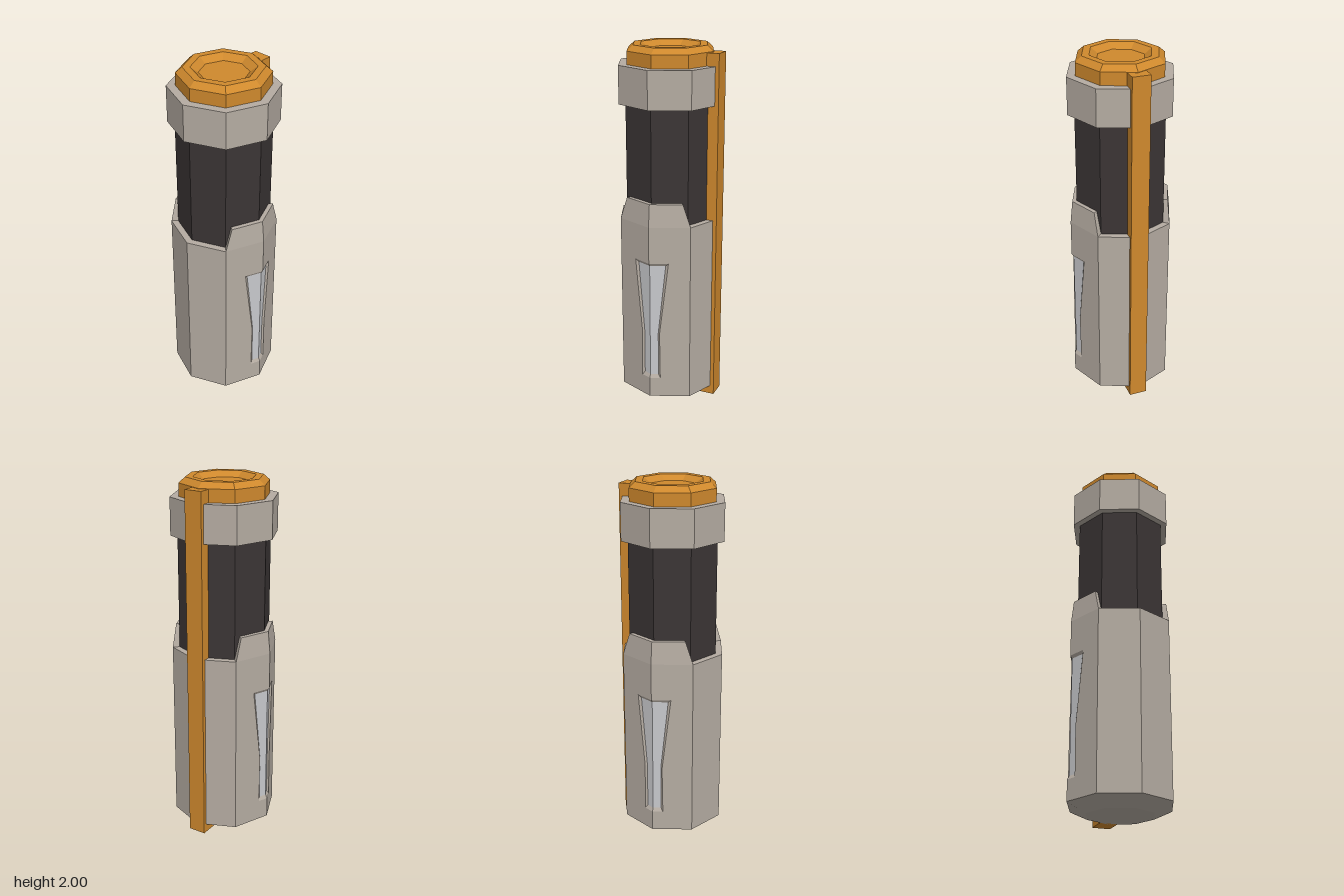
import * as THREE from 'three';

const R = 0.293;                       // outer octagon radius
const INNER = 0.255;                   // grip radius
const SLOPE = Math.tan(Math.PI / 8);   // how fast the faces beside the front corner fall back
const CORNER = R * Math.SQRT1_2;

const mat = (name, color, side = THREE.FrontSide) => {
  const m = new THREE.MeshStandardMaterial({ color, side, flatShading: true });
  m.name = name;
  return m;
};

// Four-cornered faces; flip reverses the corner order for mirrored copies
function quads(list, flip) {
  const pos = [];
  for (const q of list) {
    const [a, b, c, d] = flip ? [...q].reverse() : q;
    pos.push(...a, ...b, ...c, ...a, ...c, ...d);
  }
  const g = new THREE.BufferGeometry();
  g.setAttribute('position', new THREE.Float32BufferAttribute(pos, 3));
  g.computeVertexNormals();
  return g;
}

// Flat outline laid onto the octagon face beside the front corner
function panel(points, depth) {
  const shape = new THREE.Shape(points.map(([x, y]) => new THREE.Vector2(x, y)));
  const g = new THREE.ShapeGeometry(shape);
  const p = g.attributes.position;
  for (let i = 0; i < p.count; i++) p.setZ(i, depth - SLOPE * Math.abs(p.getX(i)));
  g.computeVertexNormals();
  return g;
}

export function createModel() {
  const casing = mat('warm grey casing', 0xb5aca2, THREE.DoubleSide);
  const orange = mat('orange', 0xcf892d);
  const grip = mat('dark grip', 0x3b3535);
  const silver = mat('silver inlay', 0xc8c9cc, THREE.DoubleSide);

  const model = new THREE.Group();
  model.name = 'octagonalCanister';
  const add = (name, geo, material, y = 0, parent = model) => {
    const m = new THREE.Mesh(geo, material);
    m.name = name;
    m.position.y = y;
    parent.add(m);
    return m;
  };

  // Grip core, upper collar and chamfered foot
  add('grip', new THREE.CylinderGeometry(INNER, INNER, 0.75, 8), grip, 1.375);
  add('collar', new THREE.CylinderGeometry(R, R, 0.205, 8), casing, 1.7975);
  add('foot', new THREE.CylinderGeometry(R, 0.19, 0.05, 8), casing, 0.025);

  // Body ledge and plain side walls
  const ledge = new THREE.RingGeometry(INNER - 0.01, R, 8).rotateX(-Math.PI / 2);
  add('bodyLedge', ledge, casing, 1.065);
  for (const [name, start] of [['leftWall', 0.25], ['rightWall', 1.25]]) {
    const wall = new THREE.CylinderGeometry(R, R, 1.015, 2, 1, true, start * Math.PI, Math.PI / 2);
    add(name, wall, casing, 0.5575);
  }

  // Front and back: recessed inlay and raised flap, mirrored about the corner
  const opening = [[0, 0.858], [0.098, 0.858], [0.052, 0.44], [0.055, 0.165], [0, 0.165]];
  const floor = [[0, 0.842], [0.08, 0.842], [0.041, 0.44], [0.041, 0.185], [0, 0.185]];
  const floorDepth = R - 0.011;
  for (const [name, turn] of [['front', 0], ['back', Math.PI]]) {
    const face = new THREE.Group();
    face.name = name + 'Face';
    face.rotation.y = turn;
    model.add(face);
    for (const s of [1, -1]) {
      const mirror = pts => pts.map(([x, y]) => [s * x, y]);
      const on = ([x, y], depth) => [s * x, y, depth - SLOPE * x];

      const outline = [[0, 0.05], [CORNER, 0.05], [CORNER, 1.065], [0, 1.065], ...opening];
      add('bodyPanel', panel(mirror(outline), R), casing, 0, face);
      add('inlay', panel(mirror(floor), floorDepth), silver, 0, face);

      const walls = [];
      for (let i = 0; i < opening.length - 1; i++) {
        walls.push([on(opening[i], R), on(opening[i + 1], R),
          on(floor[i + 1], floorDepth), on(floor[i], floorDepth)]);
      }
      add('recessEdge', quads(walls, s > 0), casing, 0, face);

      // Flap: leaning outer face, top and slanted end
      const low = on([CORNER, 1.065], R), high = on([0.165, 1.19], 0.28);
      const topMid = on([0, 1.19], 0.28), inMid = on([0, 1.19], INNER - 0.005);
      const inHigh = on([0.148, 1.19], INNER - 0.005), inLow = on([0.178, 1.065], INNER - 0.005);
      add('flap', quads([
        [on([0, 1.065], R), low, high, topMid],
        [topMid, high, inHigh, inMid],
        [low, inLow, inHigh, high],
      ], s < 0), casing, 0, face);
    }
  }

  // Dished end cap
  const profile = [[0.245, 1.88], [0.245, 1.97], [0.21, 2], [0.17, 2], [0.13, 1.97], [0, 1.97]]
    .map(([r, y]) => new THREE.Vector2(r, y));
  add('endCap', new THREE.LatheGeometry(profile, 8), orange);

  // Full-length rail on the left side
  const rail = add('rail', new THREE.BoxGeometry(0.123, 1.968, 0.1), orange, 0.984);
  rail.position.x = 0.2315;

  return model;
}
